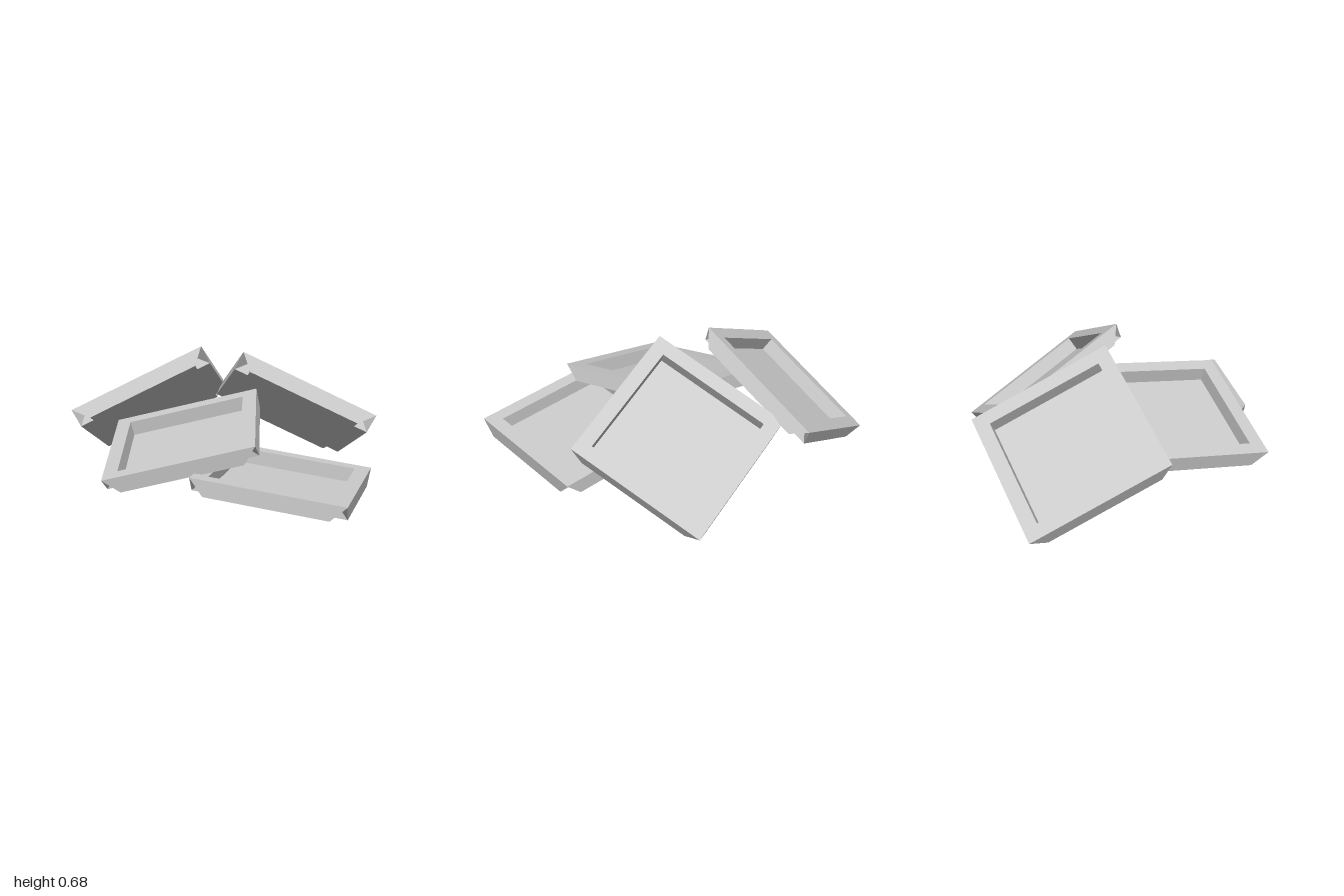
import * as THREE from 'three';

const HALF = 0.371;   // half the side of a tray
const RIM = 0.072;    // width of the raised rim
const THICK = 0.08;   // overall thickness
const DEPTH = 0.073;  // depth of the recess

// Square tray: flat rim, recessed floor, small notch under each corner.
function trayGeometry() {
  const h = HALF, i = HALF - RIM, t = THICK, d = DEPTH;
  const pos = [];
  const face = (angle, ...pts) => {
    const c = Math.cos(angle), s = Math.sin(angle);
    const p = pts.map(([x, y, z]) => [x * c + z * s, y, z * c - x * s]);
    for (let k = 1; k < p.length - 1; k++) pos.push(...p[0], ...p[k], ...p[k + 1]);
  };
  for (let k = 0; k < 4; k++) {
    const a = k * Math.PI / 2;
    const P = [-h, 0, h], Q = [h, 0, h];          // outer rim corners
    const Pi = [-i, 0, i], Qi = [i, 0, i];        // inner rim corners
    const Pf = [-i, -d, i], Qf = [i, -d, i];      // recess floor corners
    const Pb = [-i, -t, h], Qb = [i, -t, h];      // lower outer edge
    const Pn = [-i, -t, i], Qn = [i, -t, i];      // notch corners underneath
    face(a, P, Q, Qi, Pi);      // rim top
    face(a, P, Pb, Qb, Q);      // outer side
    face(a, Pi, Qi, Qf, Pf);    // recess wall
    face(a, Pn, Qn, Qb, Pb);    // underside strip
    face(a, Qb, Qn, Qi);        // notch faces
    face(a, Pn, Pb, Pi);
    face(a, Q, Qb, Qi);
    face(a, P, Pi, Pb);
  }
  face(0, [-i, -d, i], [i, -d, i], [i, -d, -i], [-i, -d, -i]);   // recess floor
  face(0, [-i, -t, -i], [i, -t, -i], [i, -t, i], [-i, -t, i]);   // underside
  const g = new THREE.BufferGeometry();
  g.setAttribute('position', new THREE.Float32BufferAttribute(pos, 3));
  g.computeVertexNormals();
  return g;
}

// Each tray is placed by three successive corners of its rim.
const TRAYS = {
  backTray: [[-0.62, 0.35, -0.55], [-0.065, 0.673, -0.18], [0.43, 0.353, -0.63]],
  rightLeaningTray: [[0.015, 0.677, 0.075], [0.515, 0.36, 0.51], [0.833, 0.035, -0.085]],
  leftLeaningTray: [[-0.84, 0.17, 0.07], [-0.3, 0.35, 0.55], [0.17, 0.45, -0.01]],
  frontTray: [[-0.57, 0.215, 0.407], [-0.12, 0.132, 1.0], [0.466, 0.1, 0.535]],
};

export function createModel() {
  const group = new THREE.Group();
  group.name = 'fourTrays';
  const geometry = trayGeometry();
  const material = new THREE.MeshStandardMaterial({ color: 0xcccccc, flatShading: true });
  for (const [name, corners] of Object.entries(TRAYS)) {
    const [a, b, c] = corners.map((p) => new THREE.Vector3(...p));
    const x = b.clone().sub(a).normalize();
    const y = c.clone().sub(b).cross(x).normalize();
    if (y.y < 0) y.negate();
    const z = x.clone().cross(y);
    const tray = new THREE.Mesh(geometry, material);
    tray.name = name;
    tray.quaternion.setFromRotationMatrix(new THREE.Matrix4().makeBasis(x, y, z));
    tray.position.copy(a).add(c).multiplyScalar(0.5);
    group.add(tray);
  }
  return group;
}
